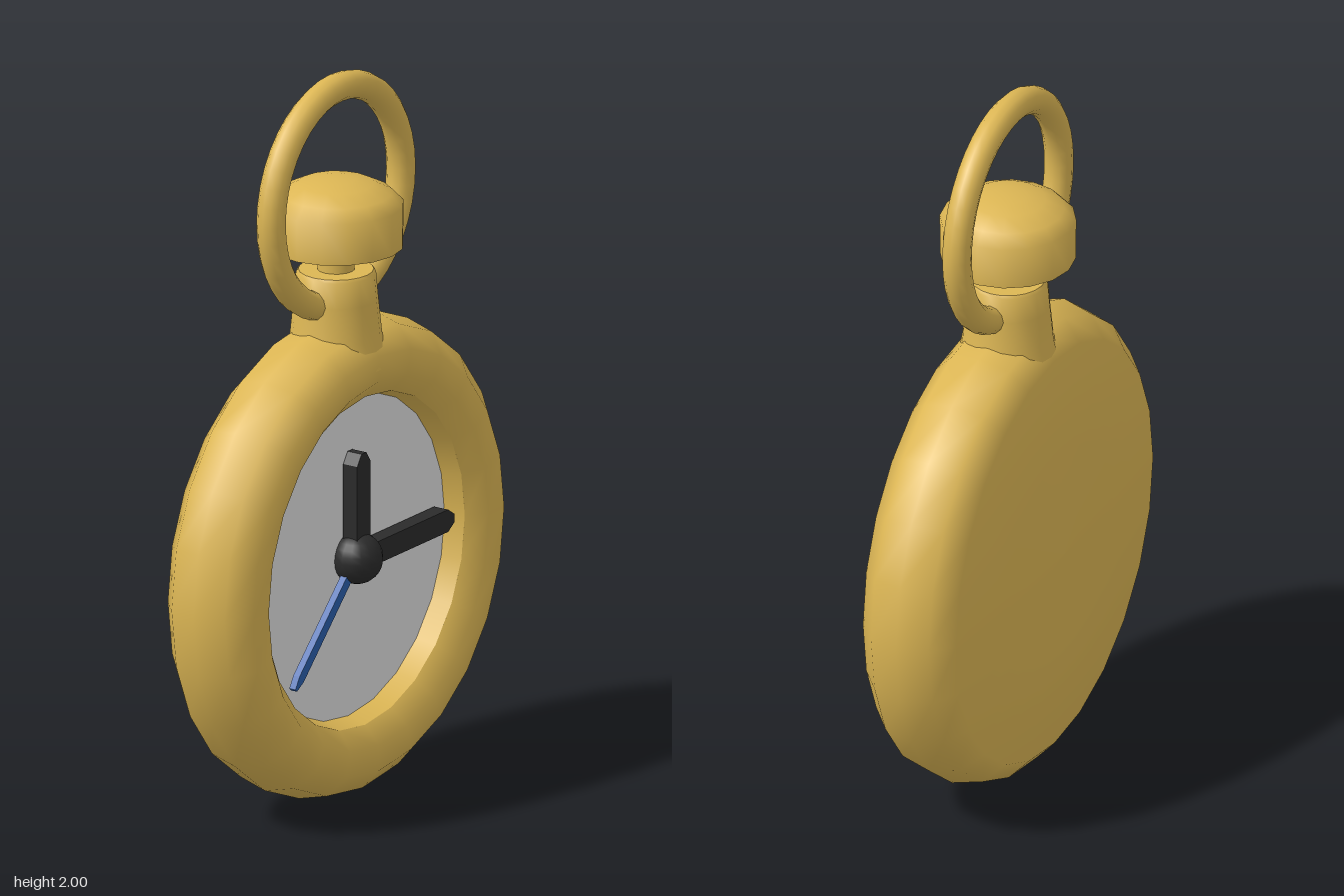
import * as THREE from 'three';
import { toCreasedNormals } from 'three/addons/utils/BufferGeometryUtils.js';

const CENTRE_Y = 0.662;

const material = (name, color) => {
  const m = new THREE.MeshStandardMaterial({ color });
  m.name = name;
  return m;
};

const lathe = (points, segments) =>
  new THREE.LatheGeometry(points.map(([r, y]) => new THREE.Vector2(r, y)), segments);

export function createModel() {
  const gold = material('gold', 0xdcb654);
  const white = material('dial white', 0xe0e0e0);
  const black = material('hand black', 0x2b2b2b);
  const blue = material('second hand blue', 0x2a5eac);

  const model = new THREE.Group();
  model.name = 'pocketWatch';
  const add = (name, geometry, mat, y = 0, z = 0, parent = model) => {
    const mesh = new THREE.Mesh(geometry, mat);
    mesh.name = name;
    mesh.position.set(0, y, z);
    parent.add(mesh);
    return mesh;
  };

  // Case: slightly domed back, then an oval bezel section in 36 degree steps
  const section = [[0, -0.167], [0.3, -0.156]];
  for (let deg = -72; deg <= 144; deg += 36) {
    const a = THREE.MathUtils.degToRad(deg);
    section.push([0.542 + 0.115 * Math.cos(a), 0.145 * Math.sin(a)]);
  }
  section[section.length - 1] = [0.457, 0.095];
  add('case', lathe(section, 24).rotateX(Math.PI / 2), gold, CENTRE_Y);

  // Inner wall of the bezel
  add('bezelWall', lathe([[0.457, 0.095], [0.44, 0.03]], 24).rotateX(Math.PI / 2), gold, CENTRE_Y);

  // Dial
  add('dial', new THREE.CylinderGeometry(0.445, 0.445, 0.02, 32).rotateX(Math.PI / 2), white, CENTRE_Y, 0.03);

  // Hands turn about the hub and have bevelled tips
  const hands = new THREE.Group();
  hands.name = 'hands';
  hands.position.set(0, CENTRE_Y + 0.003, 0);
  model.add(hands);
  const hand = (name, length, half, tip, depth, angle, mat, z) => {
    const shape = new THREE.Shape([
      [-half, 0], [half, 0], [half, length - tip], [half * 0.35, length],
      [-half * 0.35, length], [-half, length - tip],
    ].map(([x, y]) => new THREE.Vector2(x, y)));
    const geometry = new THREE.ExtrudeGeometry(shape, { depth, bevelEnabled: false });
    add(name, geometry, mat, 0, z, hands).rotation.z = angle;
  };
  hand('hourHand', 0.295, 0.031, 0.03, 0.045, 0, black, 0.045);
  hand('minuteHand', 0.418, 0.031, 0.03, 0.045, -Math.PI / 2, black, 0.045);
  hand('secondHand', 0.41, 0.014, 0.035, 0.02, Math.PI * 0.75, blue, 0.055);
  add('hub', new THREE.SphereGeometry(0.07, 16, 12), black, 0, 0.068, hands);

  // Neck and winding stem
  const neck = lathe([[0.14, 1.2], [0.122, 1.28], [0.112, 1.38], [0.106, 1.45], [0.1, 1.458], [0, 1.458]], 20);
  add('neck', toCreasedNormals(neck, 0.7), gold);
  add('stem', new THREE.CylinderGeometry(0.05, 0.05, 0.1, 16), gold, 1.48);

  // Winding crown
  const crown = lathe([
    [0, 1.485], [0.05, 1.485], [0.18, 1.525], [0.181, 1.64],
    [0.15, 1.672], [0.1, 1.697], [0.05, 1.707], [0, 1.71],
  ], 16);
  add('crown', toCreasedNormals(crown, 0.95), gold);

  // Bow ring
  add('bow', new THREE.TorusGeometry(0.299, 0.039, 12, 40), gold, 1.662);

  return model;
}
